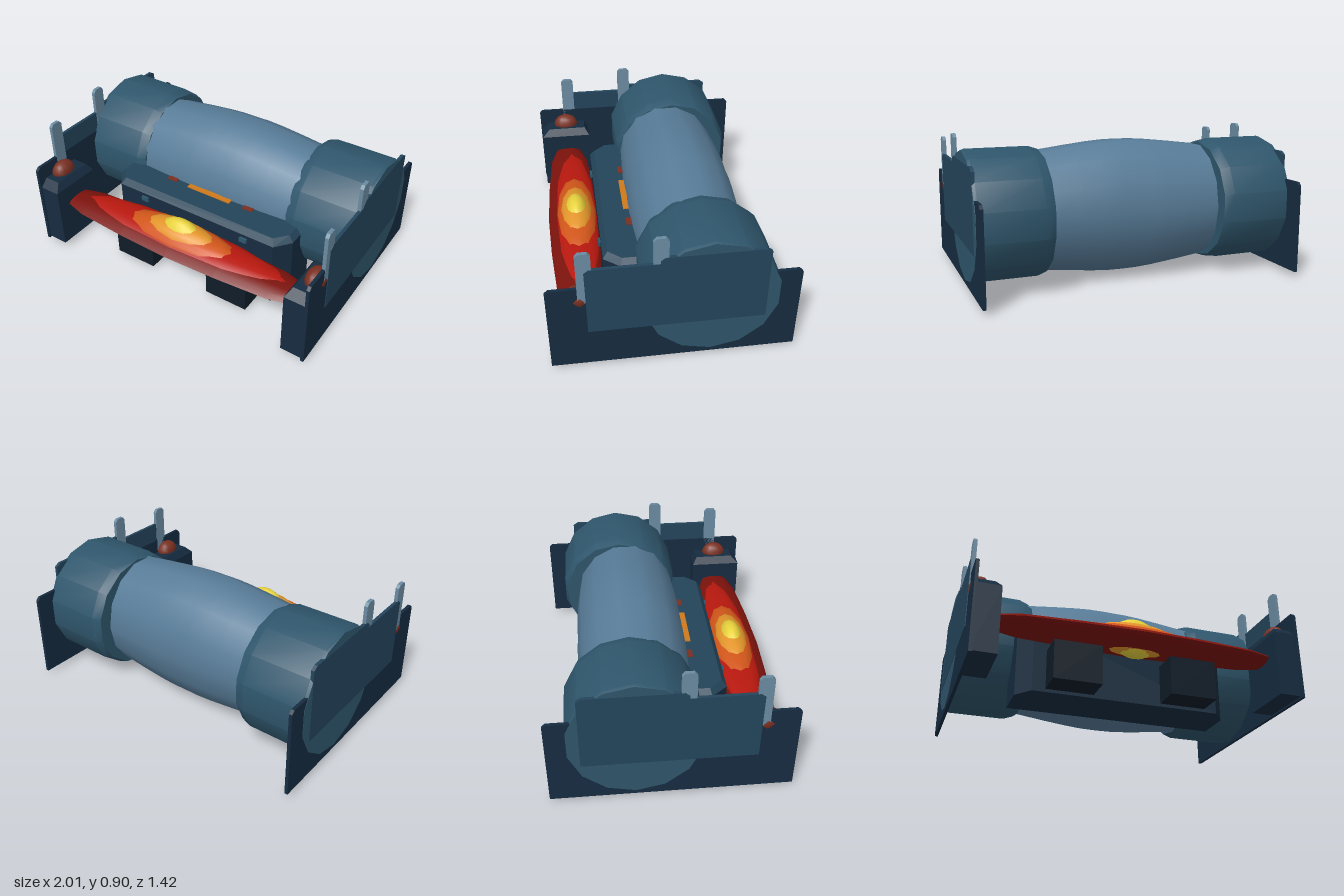
import * as THREE from 'three';
import { toCreasedNormals } from 'three/addons/utils/BufferGeometryUtils.js';
import { ConvexGeometry } from 'three/addons/geometries/ConvexGeometry.js';

const COLORS = {
  navy: 0x162c40, dark: 0x0f1c28, slab: 0x234459, drum: 0x2f566c, barrel: 0x587c98,
  panel: 0x24455c, bar: 0x6c8ca2, rust: 0x7a3022, orange: 0xd07a1e,
};

export function createModel() {
  const model = new THREE.Group();

  const add = (name, geometry, color) => {
    const mesh = new THREE.Mesh(geometry, new THREE.MeshStandardMaterial({ color }));
    mesh.name = name;
    model.add(mesh);
    return mesh;
  };

  // Box given by its limits on each axis
  const box = (name, [x0, x1], [y0, y1], [z0, z1], color) => {
    const g = new THREE.BoxGeometry(Math.abs(x1 - x0), y1 - y0, z1 - z0);
    g.translate((x0 + x1) / 2, (y0 + y1) / 2, (z0 + z1) / 2);
    return add(name, g, color);
  };

  // Convex solid through horizontal outlines: [y, [[x, z], ...]]
  const layered = (name, layers, color) => {
    const pts = layers.flatMap(([y, ring]) => ring.map(([x, z]) => new THREE.Vector3(x, y, z)));
    return add(name, new ConvexGeometry(pts), color);
  };

  // Turned solid along x from [x, radius] pairs; x must increase
  const turned = (profile, sides, start) => {
    const g = new THREE.LatheGeometry(profile.map(([x, r]) => new THREE.Vector2(r, x)), sides, start);
    return g.rotateZ(-Math.PI / 2);
  };

  // Thin plate in the z/y plane, outer face at x = s * outer
  const plate = (name, outline, s, outer, thickness, color) => {
    const shape = new THREE.Shape(outline.map(([z, y]) => new THREE.Vector2(-z, y)));
    const g = new THREE.ExtrudeGeometry(shape, { depth: thickness, bevelEnabled: false });
    g.rotateY(Math.PI / 2);
    g.translate(s > 0 ? outer - thickness : -outer, 0, 0);
    return add(name, g, color);
  };

  // Central barrel, slightly swollen in the middle
  const barrel = turned([
    [-0.56, 0], [-0.56, 0.367], [-0.54, 0.369], [-0.35, 0.393], [-0.2, 0.41], [-0.1, 0.418], [0, 0.42],
    [0.1, 0.418], [0.2, 0.41], [0.35, 0.393], [0.54, 0.369], [0.56, 0.367], [0.56, 0]], 14, 0);
  const p = barrel.attributes.position;
  for (let i = 0; i < p.count; i++) {
    const swell = 1 - Math.min(1, Math.abs(p.getX(i)) / 0.54);
    p.setZ(i, p.getZ(i) * (0.895 - 0.073 * swell));
  }
  barrel.translate(0, 0.44, -0.17);
  add('barrel', toCreasedNormals(barrel, 0.55), COLORS.barrel);

  // Front console with angled corners and a bevelled lid
  const outline = (w, wFront, zCorner, zFront) =>
    [[-w, 0.05], [w, 0.05], [w, zCorner], [wFront, zFront], [-wFront, zFront], [-w, zCorner]];
  const wide = outline(0.66, 0.58, 0.27, 0.37);
  layered('console', [[0, wide], [0.44, wide]], COLORS.navy);
  layered('consoleLid', [[0.44, wide], [0.48, outline(0.63, 0.56, 0.26, 0.34)]], COLORS.slab);
  box('lightStrip', [-0.16, 0.16], [0.47, 0.487], [0.16, 0.205], COLORS.orange);

  // Parts repeated on both sides
  for (const s of [1, -1]) {
    const side = s > 0 ? 'left' : 'right';
    const named = (part) => side + part;
    const span = (a, b) => [s * a, s * b];

    // End drum
    const profile = [[0.54, 0], [0.54, 0.375], [0.6, 0.396], [0.98, 0.396], [0.998, 0.39], [0.998, 0]];
    const oriented = s > 0 ? profile : profile.map(([x, r]) => [-x, r]).reverse();
    const drum = turned(oriented, 14, Math.PI / 2).translate(0, 0.445, -0.21);
    add(named('Drum'), toCreasedNormals(drum, 0.5), COLORS.drum);

    // Side plate and its raised outer panel
    plate(named('SidePlate'), [[0.71, 0.03], [-0.71, 0.03], [-0.71, 0.58], [-0.69, 0.6],
      [0.69, 0.6], [0.71, 0.58]], s, 0.996, 0.02, COLORS.navy);
    plate(named('OuterPanel'), [[0.49, 0.28], [-0.52, 0.28], [-0.52, 0.75], [-0.49, 0.77],
      [0.06, 0.77], [0.085, 0.75], [0.085, 0.73], [0.47, 0.73], [0.495, 0.71]], s, 1, 0.02, COLORS.panel);

    // Upright bars
    for (const [z, top] of [[0.495, 0.84], [0.082, 0.9]]) {
      plate(named('UprightBar'), [[z + 0.042, 0.5], [z - 0.042, 0.5], [z - 0.042, top - 0.02],
        [z - 0.025, top], [z + 0.025, top], [z + 0.042, top - 0.02]], s, 0.998, 0.022, COLORS.bar);
    }

    // Corner post with chamfered top
    const rect = (x0, x1, z0, z1) => [[s * x0, z0], [s * x1, z0], [s * x1, z1], [s * x0, z1]];
    layered(named('Post'), [[0.04, rect(0.84, 0.99, 0.36, 0.7)], [0.45, rect(0.84, 0.99, 0.36, 0.7)],
      [0.5, rect(0.87, 0.99, 0.39, 0.65)]], COLORS.navy);

    // Knob on the post
    const knob = new THREE.SphereGeometry(1, 12, 8).scale(0.06, 0.07, 0.085);
    add(named('Knob'), knob.translate(s * 0.943, 0.505, 0.525), COLORS.rust);

    // Console details
    box(named('Button'), span(0.255, 0.325), [0.47, 0.485], [0.165, 0.2], COLORS.rust);
    box(named('Clip'), span(0.35, 0.4), [0.39, 0.42], [0.35, 0.385], COLORS.drum);
    box(named('FrontBlock'), span(0.21, 0.5), [0.02, 0.26], [0.34, 0.54], COLORS.dark);
  }

  // Flat spindle in front, with glowing layers rising through it
  const spindle = turned([[-0.84, 0], [-0.84, 0.55], [-0.7, 0.78], [-0.35, 0.93], [0, 1],
    [0.35, 0.93], [0.7, 0.78], [0.84, 0.55], [0.84, 0]], 10, 0);
  add('spindle', toCreasedNormals(spindle.scale(1, 0.052, 0.165), 0.9).translate(0, 0.317, 0.52), 0x7c120c);

  const layers = [
    ['redLayer', 0.8, 0.058, 0.14, 0.332, 0xb8180e],
    ['orangeLayer', 0.44, 0.078, 0.13, 0.343, 0xd2561a],
    ['amberLayer', 0.29, 0.1, 0.11, 0.35, 0xe3952a],
    ['yellowCore', 0.155, 0.125, 0.08, 0.355, 0xe8d23c],
  ];
  for (const [name, rx, ry, rz, y, color] of layers) {
    add(name, new THREE.SphereGeometry(1, 12, 8).scale(rx, ry, rz).translate(0, y, 0.5), color);
  }

  return model;
}
